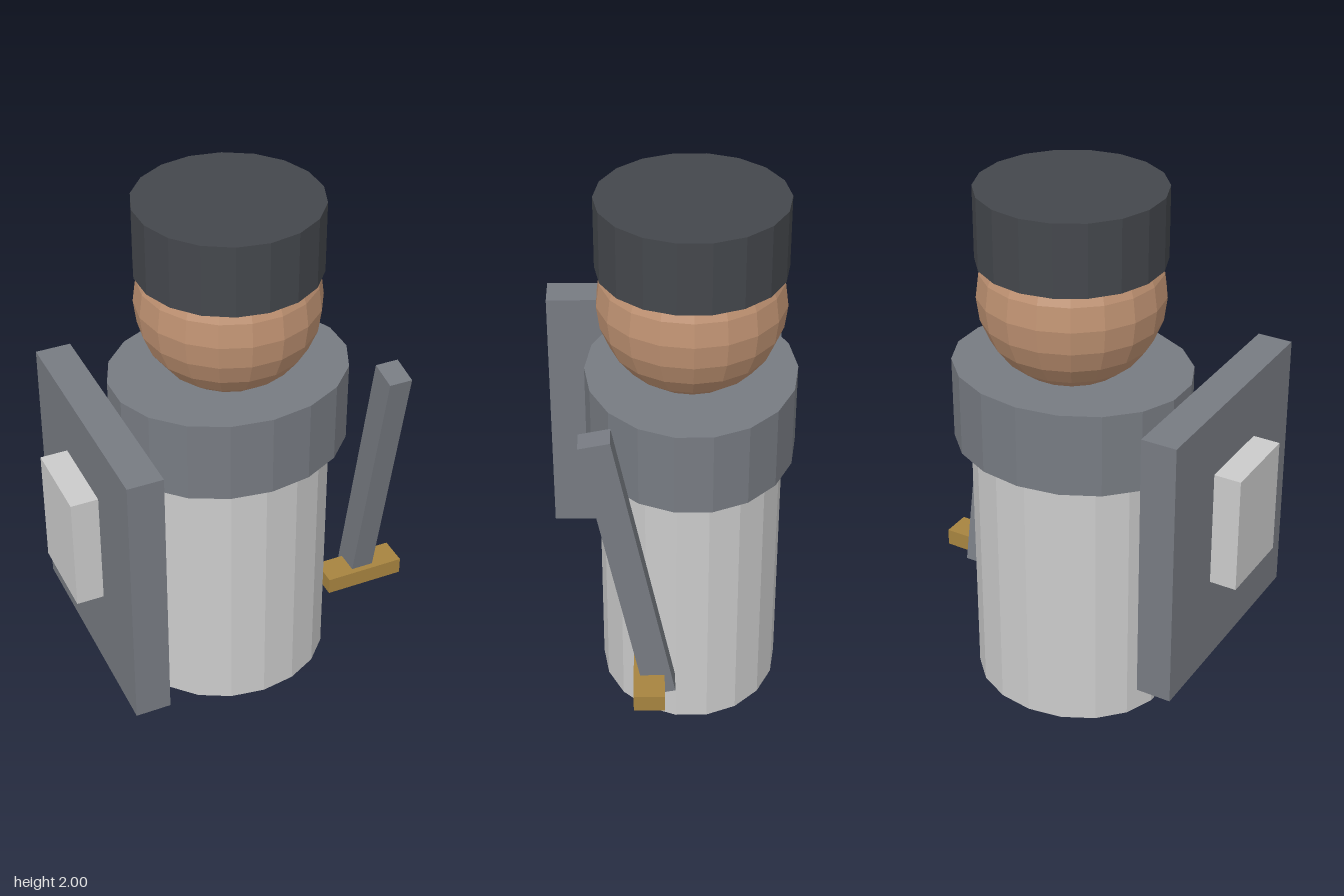
import * as THREE from 'three';

const material = (color) => new THREE.MeshStandardMaterial({ color, flatShading: true });
const SIDES = 18;

export function createModel() {
  const model = new THREE.Group();
  const plain = material(0xcccccc);
  const steel = material(0x777b82);
  const dark = material(0x44474c);
  const skin = material(0xbf9272);
  const brass = material(0xa78440);

  const add = (parent, name, geometry, mat, x, y, z) => {
    const mesh = new THREE.Mesh(geometry, mat);
    mesh.name = name;
    mesh.position.set(x, y, z);
    parent.add(mesh);
    return mesh;
  };

  // Upright figure: stacked oval drums and a round head
  const figure = new THREE.Group();
  figure.name = 'figure';
  figure.position.set(0.027, 0, -0.08);
  model.add(figure);
  const drum = (name, rx, rz, y0, y1, mat) => {
    const geometry = new THREE.CylinderGeometry(1, 1, y1 - y0, SIDES).scale(rx, 1, rz);
    return add(figure, name, geometry, mat, 0, (y0 + y1) / 2, 0);
  };
  drum('body', 0.382, 0.336, 0, 1.02, plain);
  drum('shoulderCollar', 0.45, 0.381, 1.015, 1.328, steel);
  add(figure, 'head', new THREE.SphereGeometry(0.336, SIDES, 12), skin, 0, 1.61, 0);
  drum('cap', 0.336, 0.336, 1.735, 2, dark);

  // Shield on the right side, with a raised plate
  const shield = new THREE.Group();
  shield.name = 'shield';
  model.add(shield);
  add(shield, 'shieldBoard', new THREE.BoxGeometry(0.132, 1.034, 0.897), steel, -0.514, 0.812, 0.01);
  add(shield, 'shieldPlate', new THREE.BoxGeometry(0.103, 0.446, 0.313), plain, -0.63, 0.857, 0.01);

  // Sword on the left side, tip leaning forward
  const sword = new THREE.Group();
  sword.name = 'sword';
  model.add(sword);
  const blade = add(sword, 'blade', new THREE.BoxGeometry(0.088, 1.117, 0.111), steel, 0.519, 0.811, 0.146);
  blade.rotation.x = 0.196;
  add(sword, 'crossguard', new THREE.BoxGeometry(0.313, 0.066, 0.112), brass, 0.52, 0.316, 0.078);

  return model;
}
